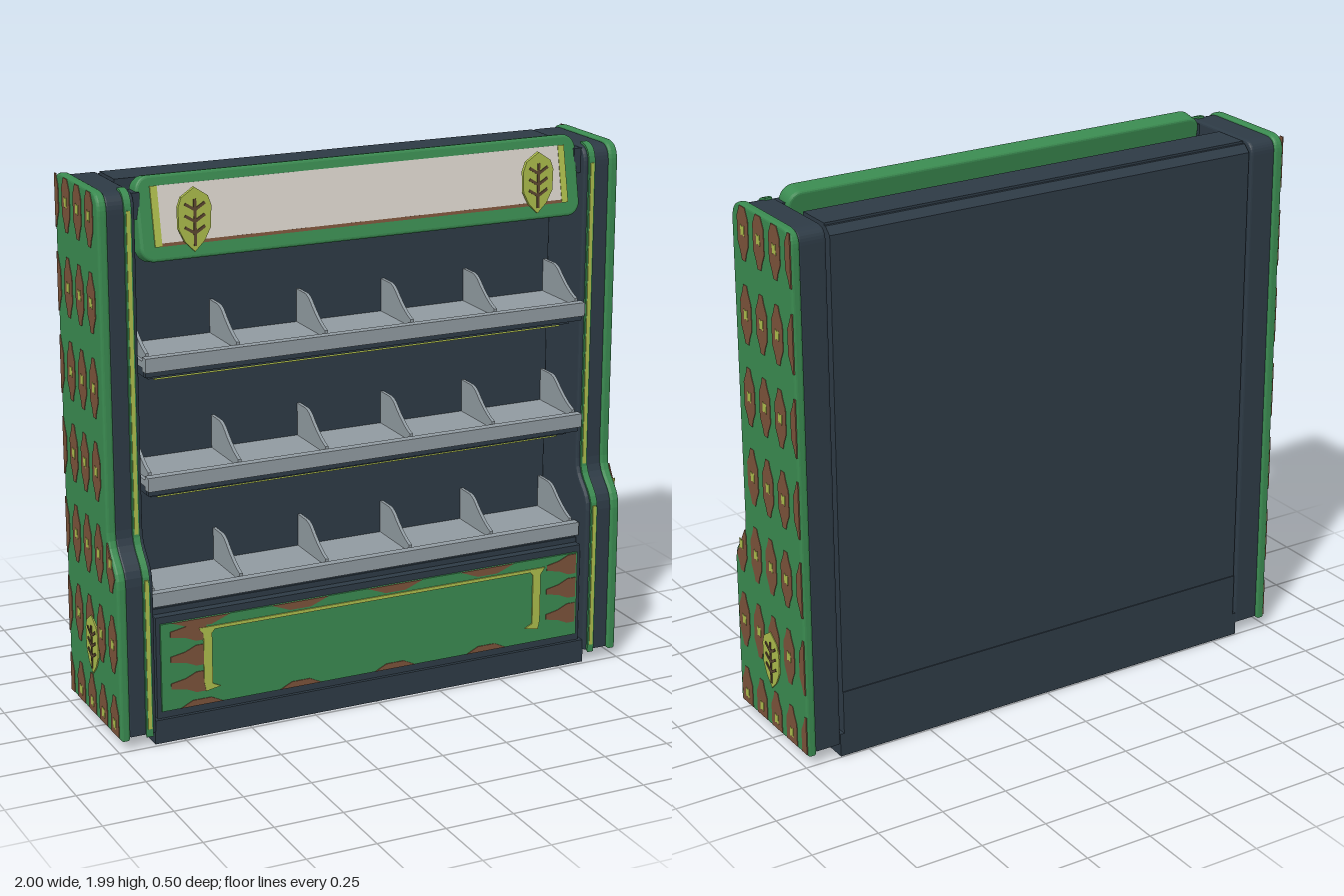
import * as THREE from 'three';

const mat = (name, color) => Object.assign(new THREE.MeshStandardMaterial({ color }), { name });
const dark = mat('slate', 0x2d3a45);
const green = mat('green', 0x3a8a50);
const grey = mat('shelfGrey', 0x909aa0);
const lime = mat('lime', 0xacbc4c);
const brown = mat('brown', 0x7a523a);
const cream = mat('cream', 0xd6d0c8);
const bark = mat('darkBrown', 0x5c4630);

function mesh(parent, name, geo, material) {
  const m = new THREE.Mesh(geo, material);
  m.name = name;
  parent.add(m);
  return m;
}

// box given by its x, y and z ranges
function box(parent, name, material, [x0, x1], [y0, y1], [z0, z1]) {
  const g = new THREE.BoxGeometry(x1 - x0, y1 - y0, z1 - z0);
  g.translate((x0 + x1) / 2, (y0 + y1) / 2, (z0 + z1) / 2);
  return mesh(parent, name, g, material);
}

const poly = pts => new THREE.Shape(pts.map(p => new THREE.Vector2(p[0], p[1])));

// extrusion of (z, y) shapes across the range a..b of x
function slab(parent, name, material, shapes, a, b, bevel = 0) {
  const g = new THREE.ExtrudeGeometry(shapes, {
    depth: b - a - 2 * bevel, curveSegments: 8, bevelEnabled: bevel > 0,
    bevelSize: bevel, bevelThickness: bevel, bevelOffset: -bevel, bevelSegments: 3,
  });
  g.rotateY(-Math.PI / 2).translate(b - bevel, 0, 0);
  return mesh(parent, name, g, material);
}

// thin plate facing +z
function plate(parent, name, material, shapes, z, depth = 0.004) {
  const g = new THREE.ExtrudeGeometry(shapes, { depth, bevelEnabled: false, curveSegments: 8 });
  return mesh(parent, name, g.translate(0, 0, z), material);
}

function roundedRect(w, h, r) {
  const s = new THREE.Shape(), x = w / 2 - r, y = h / 2 - r;
  s.absarc(x, y, r, 0, Math.PI / 2).absarc(-x, y, r, Math.PI / 2, Math.PI);
  s.absarc(-x, -y, r, Math.PI, 1.5 * Math.PI).absarc(x, -y, r, 1.5 * Math.PI, 2 * Math.PI);
  return s;
}

// front edge of the side walls, from the foot to the rounded top
function frontEdge(path, i) {
  path.moveTo(0.25 - i, 0.04 + i);
  path.lineTo(0.25 - i, 0.6);
  path.bezierCurveTo(0.25 - i, 0.69, 0.165 - i, 0.69, 0.165 - i, 0.78);
  path.lineTo(0.165 - i, 1.88);
  path.quadraticCurveTo(0.165 - i, 1.957 - i, 0.1, 1.957 - i);
  return path;
}

function sideProfile(i) {
  const s = frontEdge(new THREE.Shape(), i);
  s.lineTo(-0.19, 1.957 - i);
  s.quadraticCurveTo(-0.25 + i, 1.957 - i, -0.25 + i, 1.9);
  s.lineTo(-0.25 + i, 0.04 + i);
  return s;
}

// cuts a polygon, keeping nx*x + ny*y <= c
function clip(pts, [nx, ny, c]) {
  const out = [];
  pts.forEach((p, k) => {
    const q = pts[(k + 1) % pts.length];
    const dp = nx * p[0] + ny * p[1] - c, dq = nx * q[0] + ny * q[1] - c;
    if (dp <= 0) out.push(p);
    if (dp * dq < 0) {
      const t = dp / (dp - dq);
      out.push([p[0] + t * (q[0] - p[0]), p[1] + t * (q[1] - p[1])]);
    }
  });
  return out;
}

// spindle-shaped spot
const HALF = [[0.012, -0.105], [0.02, -0.08], [0.038, -0.045], [0.038, 0.045], [0.02, 0.08], [0.012, 0.105]];
const SPOT = [...HALF, ...HALF.map(([x, y]) => [-x, -y])];

function spots() {
  const outer = [], inner = [];
  const edges = [[1, 0, 0.236], [-1, 0, 0.246], [0, -1, -0.048], [0, 1, 1.95], [0.12, 0.07, 0.0723]];
  for (let r = 0; r < 7; r++) for (let c = 0; c < 5; c++) {
    const z = 0.195 - c * 0.111, y = 0.088 + r * 0.2965;
    if (c === 0 && r > 2) continue;
    const cuts = c === 0 && r === 2 ? edges : edges.slice(0, 4);
    outer.push(poly(cuts.reduce(clip, SPOT.map(p => [p[0] + z, p[1] + y]))));
    if (c < 4) inner.push(poly([[-1, -1], [0, -0.7], [1, -1], [1, 1], [0, 0.7], [-1, 1]]
      .map(p => [z + p[0] * 0.012, y + p[1] * 0.019])));
  }
  return { outer, inner };
}

// leaf badge with veins, facing +z
function leaf(thickness) {
  const g = new THREE.Group();
  g.name = 'leaf';
  const right = [[0, -0.11], [0.035, -0.075], [0.058, -0.03], [0.06, 0.045], [0.048, 0.078], [0, 0.11]];
  const left = right.slice(1, -1).reverse().map(([x, y]) => [-x, y]);
  plate(g, 'leafBlade', lime, poly([...right, ...left]), 0, thickness);
  const z = [thickness, thickness + 0.003];
  box(g, 'leafStem', bark, [-0.005, 0.005], [-0.09, 0.07], z);
  for (const s of [-1, 1]) for (const y of [-0.035, 0.005, 0.045]) {
    const v = box(g, 'leafVein', bark, [-0.02, 0.02], [-0.005, 0.005], z);
    v.position.set(s * 0.019, y, 0);
    v.rotation.z = s * 0.55;
  }
  return g;
}

export function createModel() {
  const model = new THREE.Group();
  model.name = 'shelfDisplay';

  // cabinet body
  box(model, 'base', dark, [-0.86, 0.86], [0, 0.088], [-0.245, 0.235]);
  box(model, 'lowerBody', dark, [-0.845, 0.845], [0.088, 0.465], [-0.24, 0.222]);
  box(model, 'lowerLedge', dark, [-0.845, 0.845], [0.465, 0.485], [-0.1, 0.19]);
  box(model, 'backKickPanel', dark, [-0.845, 0.845], [0.088, 0.25], [-0.246, -0.23]);
  const back = poly([[-0.242, 0.25], [-0.065, 0.25], [-0.065, 1.94], [-0.215, 1.94], [-0.242, 1.915]]);
  slab(model, 'backBody', dark, back, -0.845, 0.845);
  box(model, 'roofRidge', dark, [-0.845, 0.845], [1.93, 1.948], [-0.205, -0.065]);

  // side walls with coloured caps, spots, trim and leaf
  const { outer, inner } = spots();
  const edge = i => frontEdge(new THREE.Path(), i).getPoints(8);
  const ribbon = new THREE.Shape([...edge(0), ...edge(0.03).reverse()]);
  for (const s of [-1, 1]) {
    const side = new THREE.Group();
    side.name = s > 0 ? 'leftSide' : 'rightSide';
    model.add(side);
    const span = (a, b) => (s > 0 ? [a, b] : [-b, -a]);
    slab(side, 'sideColumn', dark, sideProfile(0.008), ...span(0.857, 0.962), 0.01);
    slab(side, 'sideCap', green, sideProfile(0), ...span(0.957, 0.992), 0.01);
    slab(side, 'edgeTrim', green, ribbon, ...span(0.872, 0.898));
    box(side, 'lowerTrimLight', lime, span(0.878, 0.892), [0.07, 0.62], [0.245, 0.253]);
    box(side, 'upperTrimLight', lime, span(0.878, 0.892), [0.76, 1.89], [0.16, 0.168]);
    slab(side, 'sideSpots', brown, outer, ...span(0.99, 0.994));
    slab(side, 'sideSpotCentres', lime, inner, ...span(0.991, 0.9955));
    const badge = leaf(0.006);
    badge.position.set(s * 0.991, 0.312, -0.005);
    badge.rotation.y = s * Math.PI / 2;
    side.add(badge);
    box(side, 'signBracket', dark, span(0.83, 0.862), [1.85, 1.94], [0.07, 0.13]);
  }

  // shelves with dividers and under-lights
  const fin = new THREE.Shape();
  fin.moveTo(-0.066, 0);
  fin.lineTo(0.17, 0);
  fin.lineTo(0.17, 0.025);
  fin.quadraticCurveTo(0.12, 0.04, 0.06, 0.09);
  fin.quadraticCurveTo(0.03, 0.12, 0, 0.12);
  fin.lineTo(-0.066, 0.12);
  for (let i = 0; i < 3; i++) {
    const shelf = new THREE.Group();
    shelf.name = 'shelf';
    shelf.position.y = 0.495 + 0.421 * i;
    model.add(shelf);
    box(shelf, 'shelfBoard', grey, [-0.85, 0.85], [0.012, 0.035], [-0.066, 0.17]);
    box(shelf, 'shelfLip', grey, [-0.85, 0.85], [0, 0.05], [0.168, 0.2]);
    box(shelf, 'lipRail', dark, [-0.845, 0.845], [-0.02, 0.004], [0.165, 0.185]);
    box(shelf, 'shelfUnderside', dark, [-0.84, 0.84], [-0.025, 0.012], [-0.066, 0.165]);
    if (i > 0) {
      box(shelf, 'lightHousing', dark, [-0.82, 0.82], [-0.04, -0.025], [0.08, 0.14]);
      box(shelf, 'shelfLight', lime, [-0.79, 0.79], [-0.05, -0.04], [0.095, 0.125]);
    }
    for (let k = 0; k < 6; k++) {
      const x = -0.832 + k * 0.3325;
      slab(shelf, 'divider', grey, fin, x - 0.006, x + 0.006).position.y = 0.035;
    }
  }

  // lower front panel with painted pattern
  box(model, 'frontPanel', green, [-0.83, 0.83], [0.115, 0.44], [0.2, 0.23]);
  const marks = [];
  for (const x of [-0.68, -0.3, 0.075, 0.45]) {
    marks.push(poly([[x - 0.11, 0.44], [x - 0.04, 0.413], [x + 0.04, 0.413], [x + 0.11, 0.44]]));
    marks.push(poly([[x - 0.08, 0.116], [x + 0.08, 0.116], [x + 0.035, 0.138], [x - 0.035, 0.138]]));
  }
  for (const y of [0.205, 0.305, 0.398]) {
    marks.push(poly([[-0.795, y - 0.01], [-0.74, y - 0.02], [-0.7, y - 0.038], [-0.66, y - 0.038],
      [-0.66, y + 0.038], [-0.7, y + 0.038], [-0.74, y + 0.02], [-0.795, y + 0.01]]));
    marks.push(poly([[0.7, y - 0.01], [0.75, y - 0.02], [0.79, y - 0.038], [0.822, y - 0.038],
      [0.822, y + 0.038], [0.79, y + 0.038], [0.75, y + 0.02], [0.7, y + 0.01]]));
  }
  plate(model, 'panelSpots', brown, marks, 0.229, 0.004);
  for (const s of [-1, 1]) {
    const bar = [[0.64, 0.19], [0.61, 0.175], [0.665, 0.165], [0.672, 0.2], [0.672, 0.38], [0.69, 0.405], [0.62, 0.405], [0.64, 0.38]];
    plate(model, 'panelBracket', lime, poly(bar.map(([x, y]) => [s * x, y])), 0.229, 0.006);
  }
  box(model, 'panelLine', lime, [-0.63, 0.63], [0.393, 0.405], [0.229, 0.235]);

  // tilted header sign
  const sign = new THREE.Group();
  sign.name = 'headerSign';
  sign.position.set(0, 1.842, 0.105);
  sign.rotation.x = -0.2;
  model.add(sign);
  const board = new THREE.ExtrudeGeometry(roundedRect(1.68, 0.29, 0.05), {
    depth: 0.05, bevelSize: 0.01, bevelThickness: 0.01, bevelOffset: -0.01, bevelSegments: 3, curveSegments: 8,
  });
  mesh(sign, 'signBoard', board.translate(0, 0, -0.025), green);
  box(sign, 'signFace', cream, [-0.765, 0.765], [-0.085, 0.108], [0.03, 0.038]);
  box(sign, 'signBottomLine', brown, [-0.765, 0.765], [-0.096, -0.085], [0.03, 0.039]);
  for (const s of [-1, 1]) {
    box(sign, 'signEndBar', lime, [s * 0.7775 - 0.0125, s * 0.7775 + 0.0125], [-0.096, 0.108], [0.03, 0.04]);
    const badge = leaf(0.014);
    badge.position.set(s * 0.655, 1.842, 0.168);
    model.add(badge);
  }
  return model;
}
